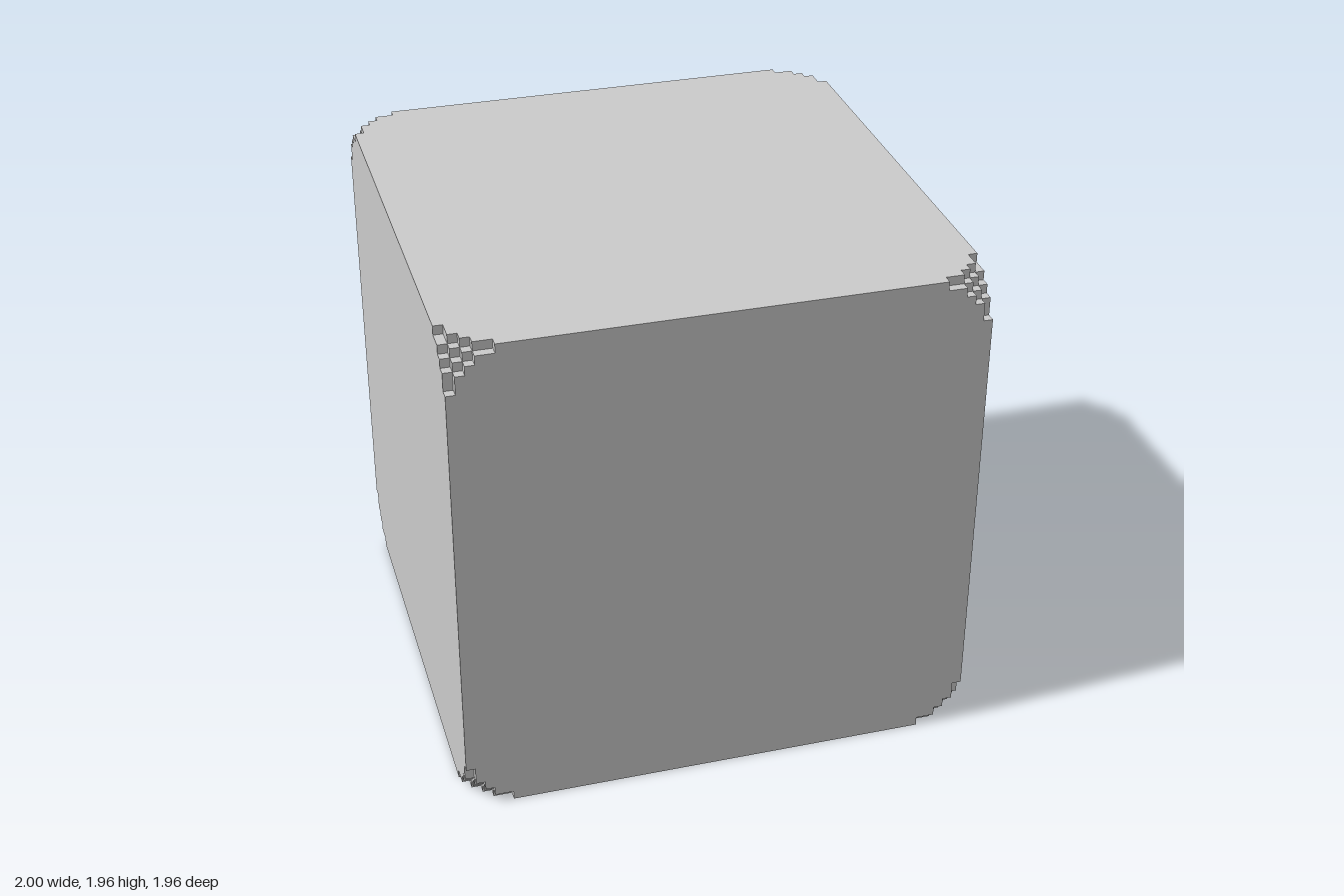
import * as THREE from 'three';

const U = 2 / 57;  // one block unit
const H = 28;      // half the cube, in units

// Square outline whose four corners are cut by the same staircase.
// steps: inset pairs from the end of one edge to the start of the next.
function notchedSquare(half, steps) {
  const points = [];
  for (let q = 0; q < 4; q++) {
    for (const [a, b] of steps) {
      const p = new THREE.Vector2(half - b, half - a);
      points.push(p.rotateAround(new THREE.Vector2(), q * Math.PI / 2).multiplyScalar(U));
    }
  }
  return new THREE.Shape(points);
}

// True where a block is carved out of a corner
const carved = (c) => c[0] + c[1] + c[2] <= 3 || Math.max(...c) === 4 && c[0] + c[1] + c[2] === 4;

// Stair faces of one corner; s holds the sign of the corner on each axis
function cornerGeometry(s) {
  const positions = [];
  const place = (p) => p.map((v, i) => s[i] * (H - v) * U);
  for (let i = 0; i < 5; i++) for (let j = 0; j < 5; j++) for (let k = 0; k < 5; k++) {
    const cell = [i, j, k];
    if (!carved(cell)) continue;
    for (let axis = 0; axis < 3; axis++) {
      const next = [...cell];
      next[axis]++;
      if (carved(next)) continue;
      const b = (axis + 1) % 3, c = (axis + 2) % 3;
      const quad = [[0, 0], [1, 0], [1, 1], [0, 1]].map(([m, n]) => {
        const p = [...next];
        p[b] += m;
        p[c] += n;
        return place(p);
      });
      // the inset axes mirror two directions, so winding follows the corner signs
      if (s[0] * s[1] * s[2] < 0) quad.reverse();
      for (const n of [0, 1, 2, 0, 2, 3]) positions.push(...quad[n]);
    }
  }
  const g = new THREE.BufferGeometry();
  g.setAttribute('position', new THREE.Float32BufferAttribute(positions, 3));
  g.computeVertexNormals();
  return g;
}

export function createModel() {
  const model = new THREE.Group();
  const material = new THREE.MeshStandardMaterial({ color: 0xcccccc, flatShading: true });

  const body = new THREE.Group();
  body.name = 'body';
  body.position.set(-U / 2, H * U, 0);
  model.add(body);

  // Six flat sides with stepped corners
  const side = new THREE.ShapeGeometry(notchedSquare(H,
    [[5, 0], [5, 1], [3, 1], [3, 2], [2, 2], [2, 3], [1, 3], [1, 5], [0, 5]]));
  const q = Math.PI / 2;
  const sides = {
    frontSide: [0, 0], leftSide: [0, q], backSide: [0, 2 * q],
    rightSide: [0, -q], topSide: [-q, 0], bottomSide: [q, 0],
  };
  for (const [name, [rx, ry]] of Object.entries(sides)) {
    const mesh = new THREE.Mesh(side, material);
    mesh.name = name;
    mesh.rotation.set(rx, ry, 0);
    mesh.translateZ(H * U);
    body.add(mesh);
  }

  // Eight stepped corners
  for (const x of [-1, 1]) for (const y of [-1, 1]) for (const z of [-1, 1]) {
    const mesh = new THREE.Mesh(cornerGeometry([x, y, z]), material);
    mesh.name = 'steppedCorner';
    body.add(mesh);
  }

  // Two raised eye plates
  const eye = new THREE.ExtrudeGeometry(
    notchedSquare(5, [[1, 0], [1, 1], [0, 1]]), { depth: U, bevelEnabled: false });
  for (const z of [13, -14]) {
    const mesh = new THREE.Mesh(eye, material);
    mesh.name = 'eye';
    mesh.rotation.y = q;
    mesh.position.set(H * U, (39 - H) * U, z * U);
    body.add(mesh);
  }
  return model;
}
